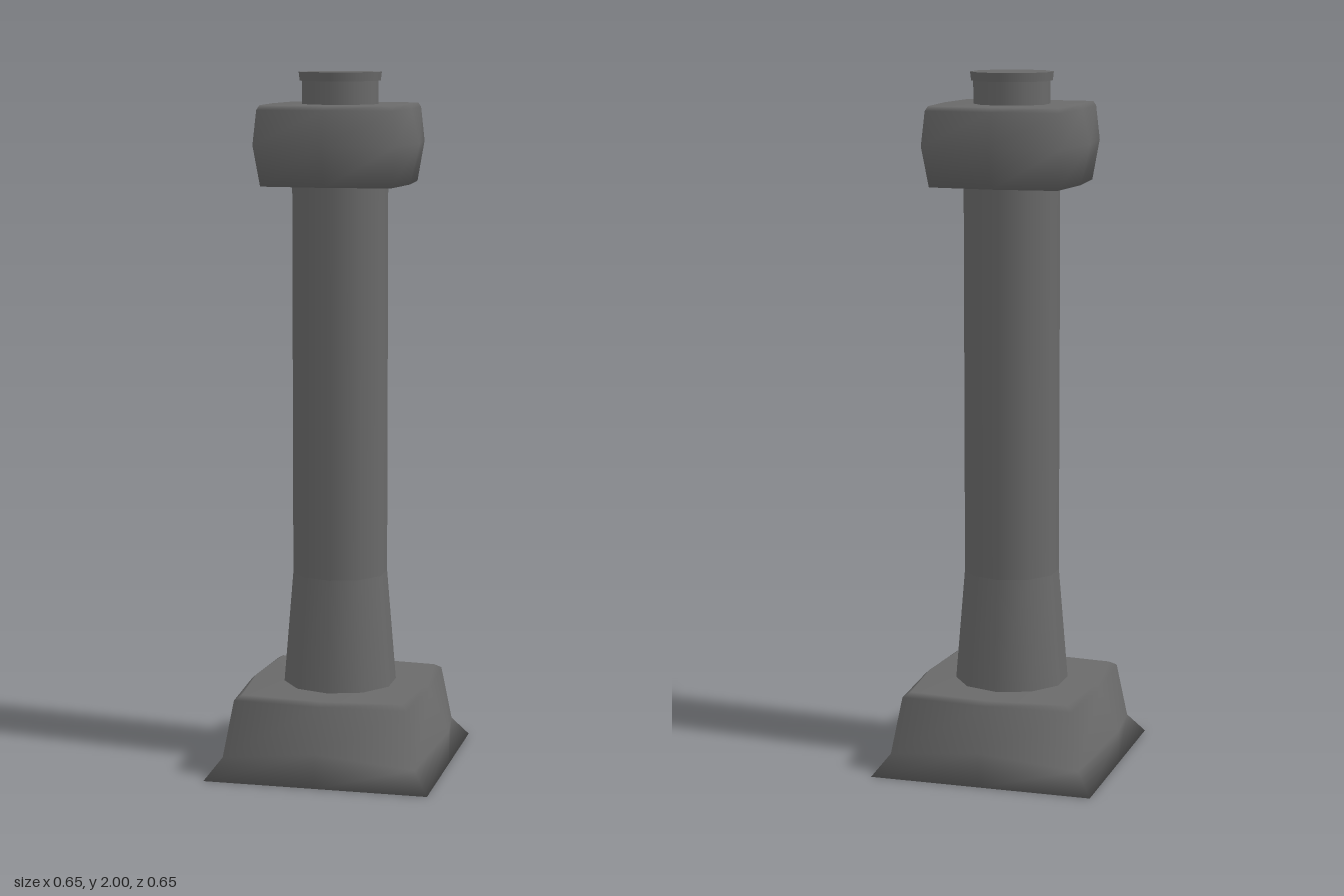
import * as THREE from 'three';

// Closed eight-point block; each ring gives corner and mid-side distances and heights.
function softBlock(rings) {
  const pos = [], index = [];
  for (const { corner, mid, yc, ym } of rings) {
    for (let i = 0; i < 8; i++) {
      const a = i * Math.PI / 4;
      const odd = i % 2 === 1;
      const r = odd ? corner * Math.SQRT2 : mid;
      pos.push(Math.sin(a) * r, odd ? yc : ym, Math.cos(a) * r);
    }
  }
  const last = (rings.length - 1) * 8;
  const bottom = pos.length / 3, top = bottom + 1;
  pos.push(0, rings[0].ym, 0, 0, rings[rings.length - 1].ym, 0);
  for (let i = 0; i < 8; i++) {
    const j = (i + 1) % 8;
    for (let k = 0; k < last; k += 8) {
      index.push(k + i, k + j, k + 8 + j, k + i, k + 8 + j, k + 8 + i);
    }
    index.push(bottom, j, i, top, last + i, last + j);
  }
  const g = new THREE.BufferGeometry();
  g.setAttribute('position', new THREE.Float32BufferAttribute(pos, 3));
  g.setIndex(index);
  g.computeVertexNormals();
  return g;
}

const ring = (corner, mid, yc, ym = yc) => ({ corner, mid, yc, ym });

export function createModel() {
  const group = new THREE.Group();
  const stone = new THREE.MeshStandardMaterial({ color: 0x6a6a6a });
  stone.name = 'dark grey stone';

  function add(name, geometry, y = 0) {
    const mesh = new THREE.Mesh(geometry, stone);
    mesh.name = name;
    mesh.position.y = y;
    group.add(mesh);
  }
  // Ten-sided drum between two heights
  function drum(name, rTop, rBottom, y0, y1, open = false) {
    add(name, new THREE.CylinderGeometry(rTop, rBottom, y1 - y0, 10, 1, open), (y0 + y1) / 2);
  }

  // Spread foot with pointed lower corners
  add('base', softBlock([
    ring(0.325, 0.325, 0),
    ring(0.28, 0.325, 0.06, 0.1),
    ring(0.253, 0.268, 0.222),
    ring(0.234, 0.254, 0.235),
  ]));

  // Flared lower shaft and straight upper shaft
  drum('shaftFlare', 0.137, 0.165, 0.22, 0.56, true);
  drum('shaft', 0.137, 0.137, 0.56, 1.7, true);

  // Rounded square capital
  add('capital', softBlock([
    ring(0.186, 0.202, 1.685),
    ring(0.203, 0.23, 1.8),
    ring(0.194, 0.206, 1.897),
    ring(0.187, 0.201, 1.91),
  ]));

  // Finial neck and lip
  drum('finialNeck', 0.109, 0.109, 1.9, 1.98, true);
  drum('finialLip', 0.118, 0.115, 1.975, 2.0);

  return group;
}
